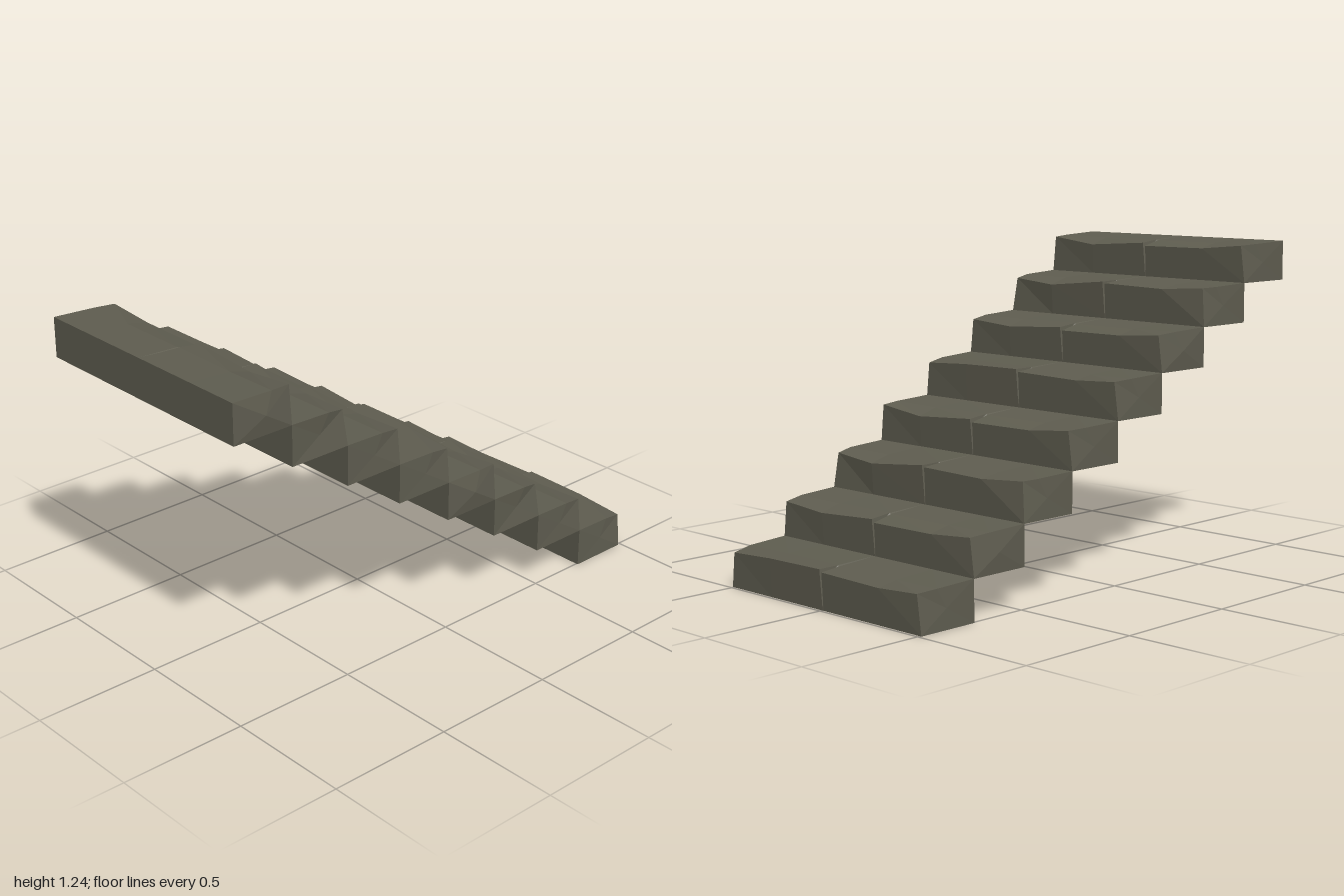
import * as THREE from 'three';

const STEPS = 8, RUN = 0.2485, RISE = 0.1543, HEIGHT = 0.155;
const stone = new THREE.MeshStandardMaterial({ color: 0x5f5d50, flatShading: true });

// Positions along a step; the middle three form the crack in the nosing.
const Z = [-0.507, -0.3, -0.007, -0.002, 0.004, 0.28, 0.507];

// Four weathered variants: wear of the nosing at each Z, end bulges, end setback.
const VARIANTS = [
  { wear: [0.012, 0.022, 0.016, 0.045, 0.006, 0.01, 0.022], ends: [-0.505, 0.505], back: 0.005 },
  { wear: [0.014, 0.028, 0.03, 0.06, 0.018, 0.034, 0.02], ends: [-0.513, 0.503], back: 0.006 },
  { wear: [0.008, 0.02, 0.014, 0.07, 0.008, 0.035, 0.02], ends: [-0.505, 0.497], back: 0.018 },
  { wear: [0.01, 0.028, 0.03, 0.05, 0.018, 0.036, 0.012], ends: [-0.506, 0.518], back: 0.005 },
];

// Lofts one worn block from cross-sections along z.
function blockGeometry({ wear, ends, back }) {
  const rings = Z.map((z, s) => {
    const end = s === 0 || s === Z.length - 1;
    const crack = s === 3;
    const inset = Math.sign(z) * (end ? 0.017 : 0);
    const front = 0.257 - (end ? back : 0) - (crack ? 0.012 : 0);
    const drop = wear[s];
    return [
      [0, 0, z],
      [0.249, 0, z],
      [front, HEIGHT - drop, z - inset],
      [0.17, HEIGHT - 0.005 - (crack ? 0.008 : drop * 0.15), z - inset * 0.4],
      [0, HEIGHT, z],
    ];
  });
  const pos = [];
  const tri = (a, b, c) => pos.push(...a, ...b, ...c);
  const n = rings[0].length;
  for (let s = 0; s < rings.length - 1; s++) {
    for (let i = 0; i < n; i++) {
      const j = (i + 1) % n;
      tri(rings[s][i], rings[s][j], rings[s + 1][j]);
      tri(rings[s][i], rings[s + 1][j], rings[s + 1][i]);
    }
  }
  // End faces fan out from a slightly raised or dented point.
  const first = rings[0], last = rings[rings.length - 1];
  for (let i = 0; i < n; i++) {
    const j = (i + 1) % n;
    tri([0.13, 0.075, ends[0]], first[j], first[i]);
    tri([0.13, 0.075, ends[1]], last[i], last[j]);
  }
  const g = new THREE.BufferGeometry();
  g.setAttribute('position', new THREE.Float32BufferAttribute(pos, 3));
  g.computeVertexNormals();
  return g;
}

export function createModel() {
  const group = new THREE.Group();
  group.name = 'stoneStaircase';
  const variants = VARIANTS.map(blockGeometry);
  // Steps climb towards -x.
  for (let i = 0; i < STEPS; i++) {
    const step = new THREE.Mesh(variants[i % variants.length], stone);
    step.name = `step${i + 1}`;
    step.position.set(0.74 - i * RUN, i * RISE, 0);
    group.add(step);
  }
  return group;
}
